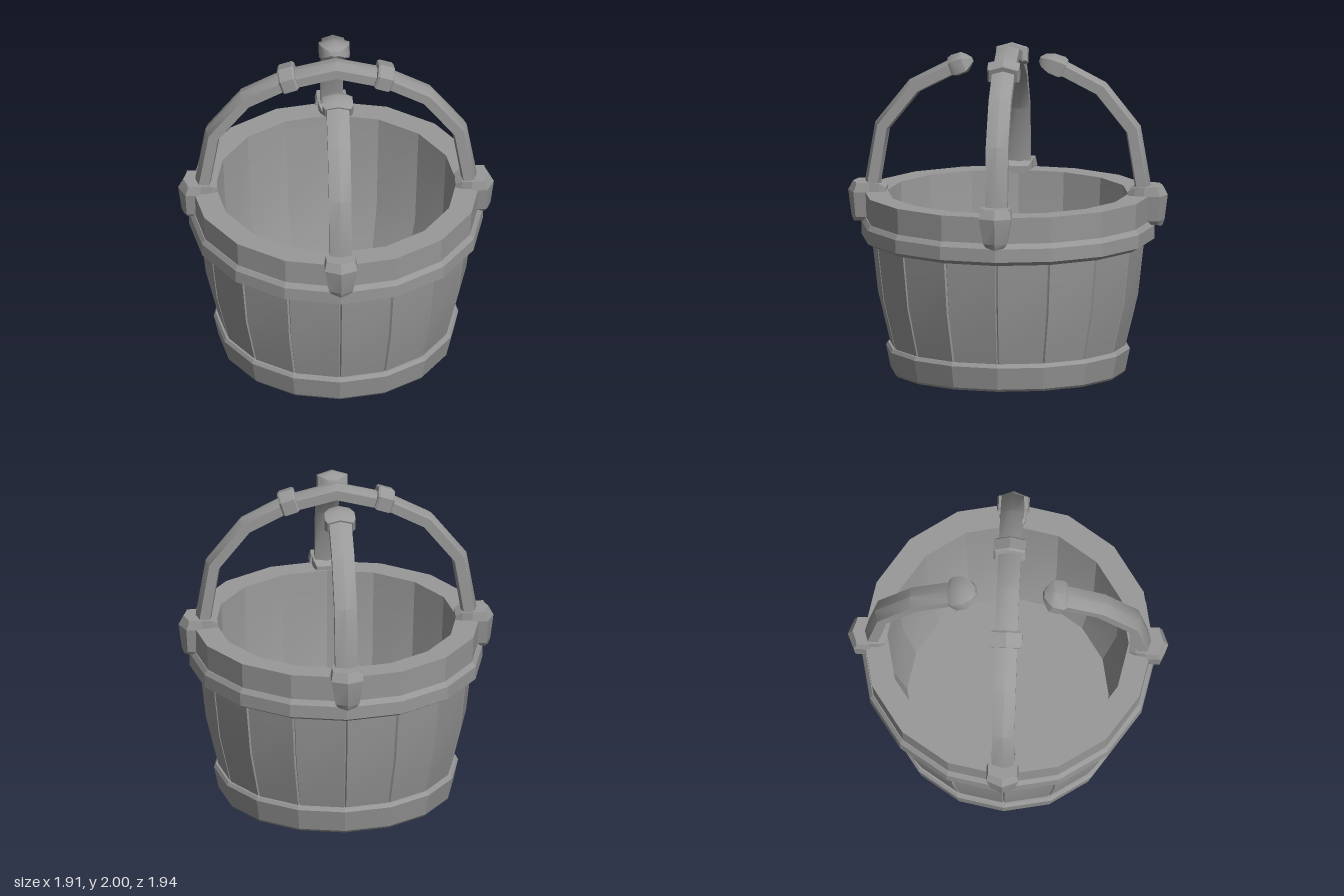
import * as THREE from 'three';
import { toCreasedNormals } from 'three/addons/utils/BufferGeometryUtils.js';

const wood = new THREE.MeshStandardMaterial({ color: 0x999999 });
wood.name = 'grey wood';
const V = (x, y, z) => new THREE.Vector3(x, y, z);

// Skin a series of equal-sized rings, optionally closing the first and last one
function loft(name, rings, capStart = true, capEnd = true, crease = 0.3) {
  const pos = [];
  const tri = (...pts) => pts.forEach(p => pos.push(p.x, p.y, p.z));
  const n = rings[0].length;
  const centre = ring => ring.reduce((s, p) => s.add(p), V(0, 0, 0)).divideScalar(n);
  const first = rings[0], last = rings[rings.length - 1];
  const c0 = centre(first), c1 = centre(last);
  for (let j = 0; j < n; j++) {
    const k = (j + 1) % n;
    for (let i = 0; i + 1 < rings.length; i++) {
      const a = rings[i], b = rings[i + 1];
      tri(a[j], a[k], b[k], a[j], b[k], b[j]);
    }
    if (capStart) tri(c0, first[k], first[j]);
    if (capEnd) tri(c1, last[j], last[k]);
  }
  const geo = new THREE.BufferGeometry();
  geo.setAttribute('position', new THREE.Float32BufferAttribute(pos, 3));
  geo.computeVertexNormals();
  const mesh = new THREE.Mesh(toCreasedNormals(geo, crease), wood);
  mesh.name = name;
  return mesh;
}

// Sixteen-sided horizontal ring
const SIDES = 16;
const corner = (r, y, i) => {
  const a = (i / SIDES) * Math.PI * 2;
  return V(Math.sin(a) * r, y, Math.cos(a) * r);
};
const ring = ([r, y]) => Array.from({ length: SIDES }, (_, i) => corner(r, y, i));

// The same ring with a narrow groove at every corner, between the staves
function staveRing([r, y]) {
  const pts = [];
  for (let i = 0; i < SIDES; i++) {
    const c = corner(r, y, i);
    pts.push(c.clone().lerp(corner(r, y, i - 1), 0.025),
      corner(r - 0.014, y, i),
      c.clone().lerp(corner(r, y, i + 1), 0.025));
  }
  return pts;
}

// Ridged handle section: [sideways, outward]
const SECTION = [[0.068, -0.032], [0.068, 0.03], [0, 0.05], [-0.068, 0.03], [-0.068, -0.032], [0, -0.048]];
const section = (p, t, scale = 1) => {
  const n = V(t.y, -t.x, 0);
  return SECTION.map(([u, v]) => V(p.x, p.y, u * scale).addScaledVector(n, v * scale));
};

function bar(name, path) {
  const rings = path.map((p, i) => {
    const a = path[Math.max(i - 1, 0)], b = path[Math.min(i + 1, path.length - 1)];
    return section(p, b.clone().sub(a).normalize());
  });
  return loft(name, rings, true, true, 0.65);
}

// Thickened piece along a handle: stations are [distance, scale]
function sleeve(name, p, t, stations, crease) {
  const dir = t.clone().normalize();
  return loft(name, stations.map(([d, s]) => section(p.clone().addScaledVector(dir, d), dir, s)), true, true, crease);
}

// Clasp hooked over the rim on the +x side
function clasp() {
  const g = new THREE.Group();
  g.name = 'rimClasp';
  const tab = [[0.92, 0.055, 0.895, 0.92], [0.945, 0.072, 0.905, 0.935],
    [1.1, 0.098, 0.915, 0.955], [1.157, 0.088, 0.895, 0.925]];
  g.add(loft('claspTab', tab.map(([y, w, r, nose]) => [
    V(0.82, y, w), V(r, y, w), V(nose, y - (y < 0.93 ? 0.012 : 0), 0), V(r, y, -w), V(0.82, y, -w)])));
  const slab = [[0.72, 0.06, 1.125], [0.76, 0.078, 1.15], [0.9, 0.088, 1.157]];
  g.add(loft('claspTop', slab.map(([x, w, top]) => [
    V(x, 1.08, w), V(x, 1.08, -w), V(x, top, -w), V(x, top, w)])));
  return g;
}

export function createModel() {
  const model = new THREE.Group();
  model.name = 'bucket';

  // Body
  model.add(loft('lowerHoop', [[0.7, 0], [0.712, 0.015], [0.74, 0.15], [0.728, 0.172], [0.68, 0.172]].map(ring), true, false));
  model.add(loft('staves', [[0.71, 0.15], [0.79, 0.48], [0.828, 0.82]].map(staveRing), false, false));
  model.add(loft('upperHoop', [[0.8, 0.8], [0.84, 0.8], [0.888, 0.828], [0.89, 0.91], [0.872, 0.94], [0.83, 0.94]].map(ring), false, false));
  model.add(loft('rimAndInside', [[0.866, 0.92], [0.875, 1.1], [0.73, 1.1], [0.7, 0.48], [0.61, 0.16]].map(ring), false, true));

  // Whole arched handle with two collars
  const half = [[0.805, 1.1], [0.8, 1.17], [0.745, 1.5], [0.55, 1.745], [0.3, 1.875]].map(([x, y]) => V(x, y, 0));
  const mirrored = half.map(p => V(-p.x, p.y, 0)).reverse();
  const arch = new THREE.Group();
  arch.name = 'archedHandle';
  arch.add(bar('archBar', [...half, V(0, 1.949, 0), ...mirrored]));
  for (const s of [1, -1]) {
    arch.add(sleeve('collar', V(s * 0.29, 1.89, 0), V(-1, s * 0.32, 0),
      [[-0.052, 1.25], [-0.04, 1.42], [0.04, 1.42], [0.052, 1.25]], 0.3));
    const c = clasp();
    c.rotation.y = s > 0 ? 0 : Math.PI;
    arch.add(c);
  }
  model.add(arch);

  // Broken handle halves at front and back, each ending in a knob
  for (const [name, turn, tip] of [['frontHandle', -1, 0.075], ['backHandle', 1, 0.1]]) {
    const inner = new THREE.Group();
    inner.add(bar('handleBar', half), clasp());
    inner.add(sleeve('knob', half[4], V(-0.9, 0.33, 0),
      [[-0.035, 1.15], [-0.01, 1.38], [0.055, 1.32], [tip + 0.005, 0.9], [tip + 0.03, 0.35]], 0.75));
    inner.position.x = 0.015;
    inner.name = name + 'Parts';
    const handle = new THREE.Group();
    handle.name = name;
    handle.rotation.y = turn * Math.PI / 2;
    handle.add(inner);
    model.add(handle);
  }
  return model;
}
